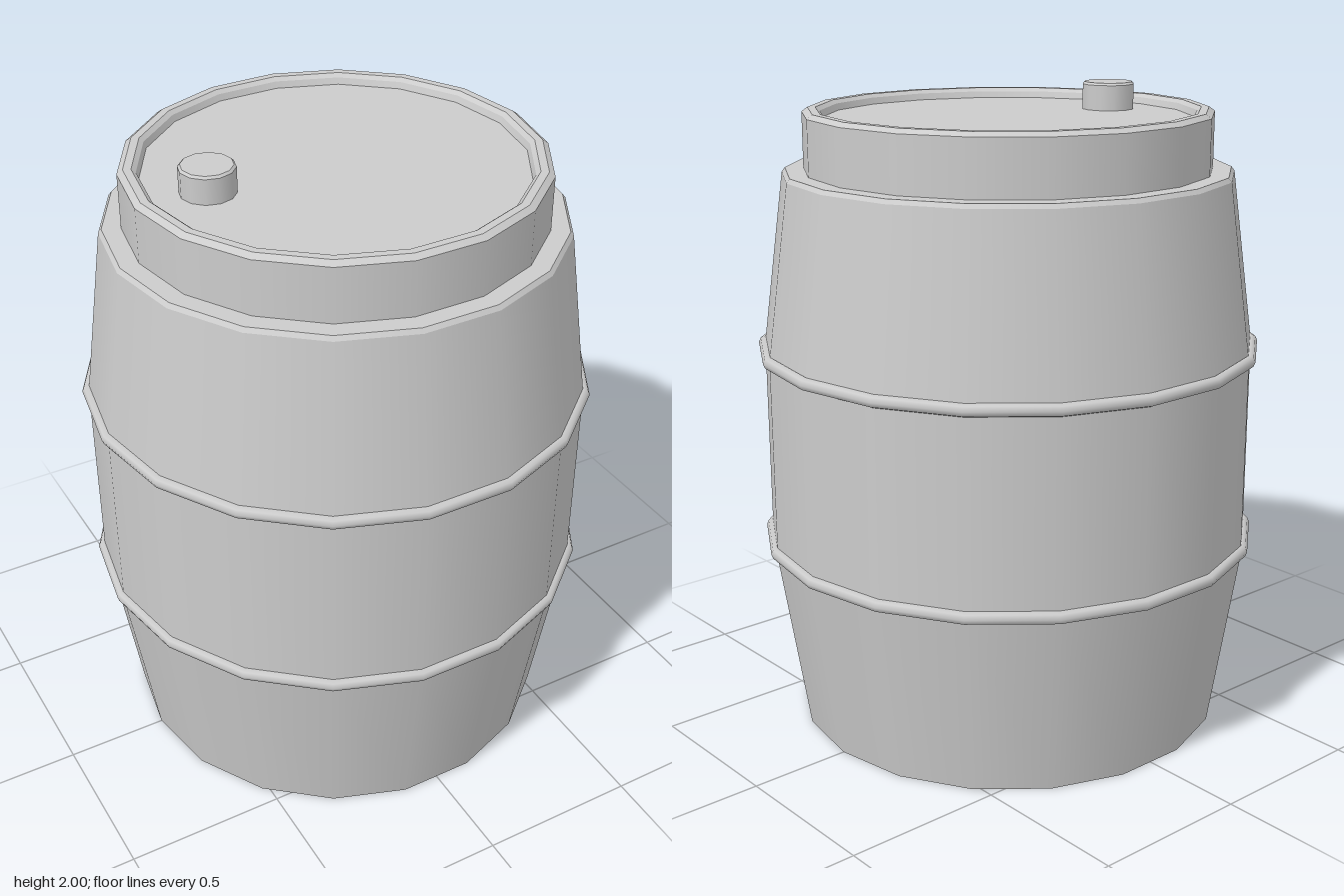
import * as THREE from 'three';

const SIDES = 18;
const material = new THREE.MeshStandardMaterial({ color: 0xcccccc, side: THREE.DoubleSide });

function addMesh(parent, name, geometry) {
  const mesh = new THREE.Mesh(geometry, material);
  mesh.name = name;
  parent.add(mesh);
  return mesh;
}

// Revolves each straight band on its own: smooth around, sharp between bands.
// Half a step of rotation puts a corner on the x axis.
function addLathe(parent, name, profile, sides) {
  const part = new THREE.Group();
  part.name = name;
  for (let i = 0; i < profile.length - 1; i++) {
    const points = [profile[i], profile[i + 1]].map(([r, y]) => new THREE.Vector2(r, y));
    const start = Math.PI / 2; // corner at +x
    addMesh(part, name + 'Band', new THREE.LatheGeometry(points, sides, start));
  }
  parent.add(part);
  return part;
}

export function createModel() {
  const barrel = new THREE.Group();
  barrel.name = 'barrel';

  // Open-bottomed bulging wall with a bevelled shoulder
  addLathe(barrel, 'wall', [
    [0.68, 0], [0.77, 0.58], [0.77, 1.21], [0.697, 1.75], [0.687, 1.763], [0.63, 1.763],
  ], SIDES);

  // Raised neck, rolled rim and recessed lid
  addLathe(barrel, 'neckAndRim', [
    [0.63, 1.763], [0.63, 1.933], [0.612, 1.946], [0.588, 1.946], [0.575, 1.935], [0.568, 1.915],
  ], SIDES);
  const lid = addMesh(barrel, 'lid', new THREE.CircleGeometry(0.568, SIDES));
  lid.rotation.x = -Math.PI / 2;
  lid.position.y = 1.915;

  // Two hoops at the ends of the straight middle
  for (const y of [0.595, 1.21]) {
    const hoop = addMesh(barrel, 'hoop', new THREE.TorusGeometry(0.77, 0.02, 8, SIDES));
    hoop.rotation.x = -Math.PI / 2;
    hoop.position.y = y;
  }

  // Filler plug on the lid
  const plug = addLathe(barrel, 'plug', [
    [0.083, 1.915], [0.083, 1.993], [0.076, 2], [0, 2],
  ], 12);
  plug.position.set(-0.397, 0, -0.025);

  return barrel;
}
